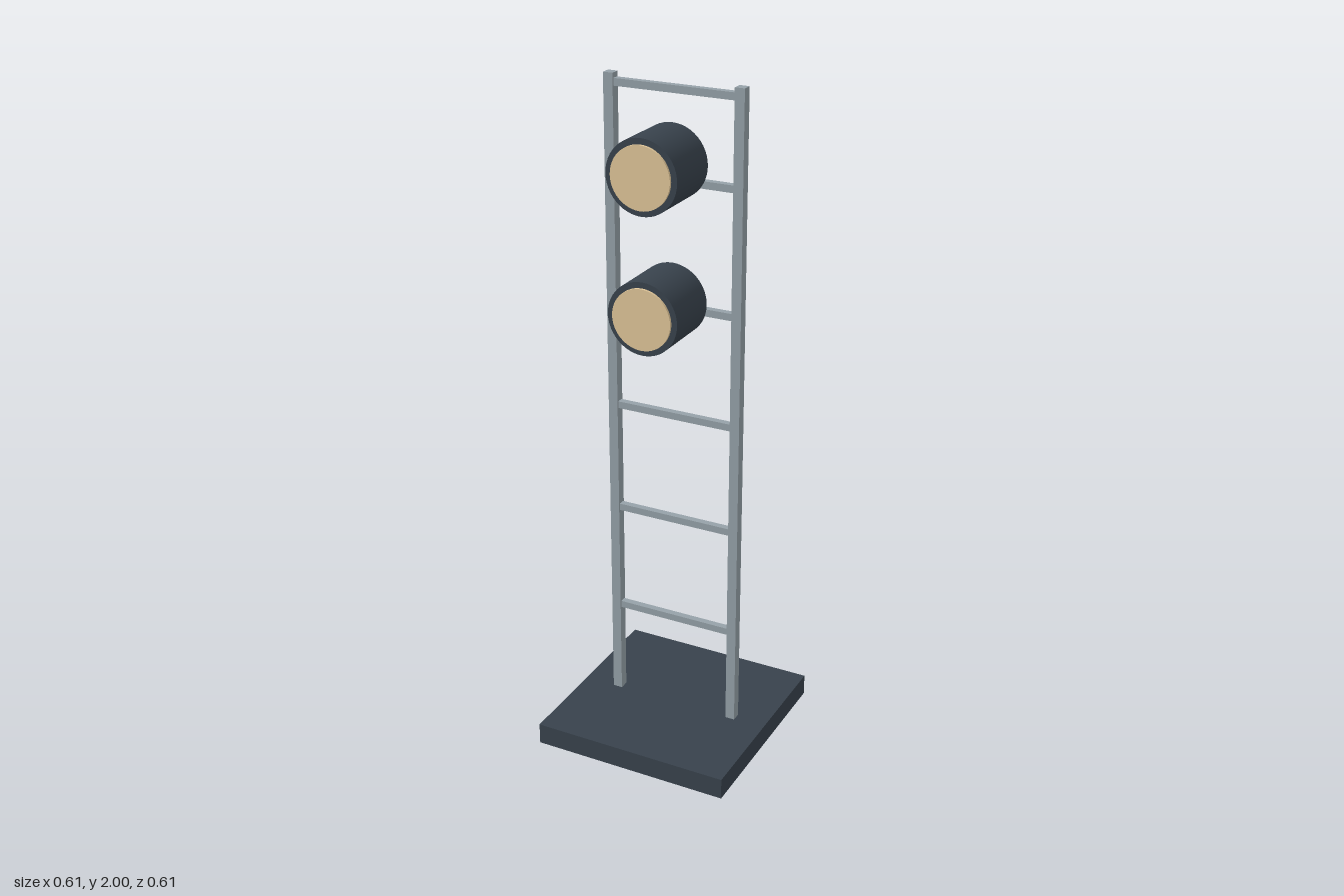
import * as THREE from 'three';

export function createModel() {
  const model = new THREE.Group();
  model.name = 'ladderLamp';
  const dark = new THREE.MeshStandardMaterial({ color: 0x38424c });
  const steel = new THREE.MeshStandardMaterial({ color: 0x95a1a8 });
  const cream = new THREE.MeshStandardMaterial({ color: 0xdfc598 });

  function add(parent, name, geometry, material, x, y, z) {
    const mesh = new THREE.Mesh(geometry, material);
    mesh.name = name;
    mesh.position.set(x, y, z);
    parent.add(mesh);
    return mesh;
  }

  // Square base plate
  add(model, 'base', new THREE.BoxGeometry(0.61, 0.065, 0.61), dark, 0, 0.0325, 0);

  // Two uprights running through the base
  const post = new THREE.BoxGeometry(0.029, 2, 0.029);
  add(model, 'leftPost', post, steel, 0.194, 1, 0);
  add(model, 'rightPost', post, steel, -0.194, 1, 0);

  // Rungs between the uprights
  const rung = new THREE.BoxGeometry(0.365, 0.021, 0.02);
  for (const y of [0.365, 0.7, 1.033, 1.365, 1.727, 1.975]) {
    add(model, 'rung', rung, steel, 0, y, 0);
  }

  // Drum spotlights facing forward, each with a thin lens disc
  const drum = new THREE.CylinderGeometry(0.105, 0.105, 0.179, 48).rotateX(Math.PI / 2);
  const disc = new THREE.CylinderGeometry(0.088, 0.088, 0.009, 48).rotateX(Math.PI / 2);
  for (const y of [1.392, 1.783]) {
    const lamp = new THREE.Group();
    lamp.name = 'spotlight';
    lamp.position.y = y;
    add(lamp, 'housing', drum, dark, 0, 0, 0.1045);
    add(lamp, 'lens', disc, cream, 0, 0, 0.197);
    model.add(lamp);
  }
  return model;
}
